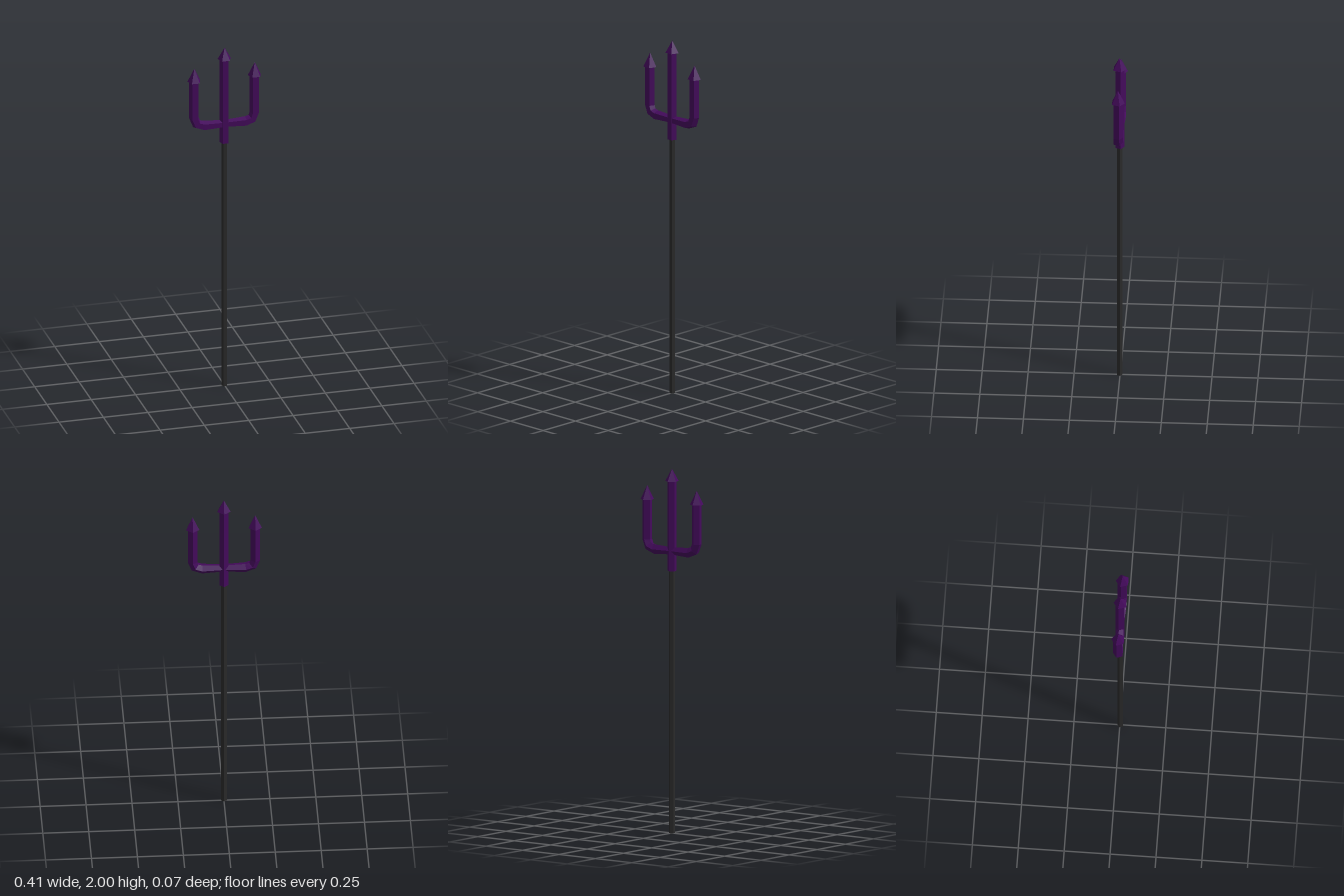
import * as THREE from 'three';

const SIDES = 5;
const Z = 0.0035; // pentagon centre, so the sections are centred front to back

export function createModel() {
  const group = new THREE.Group();
  const purple = new THREE.MeshStandardMaterial({ color: 0x440a5c, flatShading: true });
  purple.name = 'dark purple';
  const black = new THREE.MeshStandardMaterial({ color: 0x2a2a2a, flatShading: true });
  black.name = 'charcoal';

  const add = (name, geometry, material) => {
    const mesh = new THREE.Mesh(geometry, material);
    mesh.name = name;
    group.add(mesh);
  };

  // Upright five-sided bar with one edge facing the back
  const bar = (name, x, y0, y1, rBottom, rTop, material) => {
    const g = new THREE.CylinderGeometry(rTop, rBottom, y1 - y0, SIDES);
    g.rotateY(Math.PI).translate(x, (y0 + y1) / 2, Z);
    add(name, g, material);
  };

  // Spike: a cone with a closed base
  const spike = (name, x, y0, y1) => {
    const g = new THREE.ConeGeometry(0.038, y1 - y0, SIDES);
    g.rotateY(Math.PI).translate(x, (y0 + y1) / 2, Z);
    add(name, g, purple);
  };

  // Five-sided sweep along [x, y, radius, angle of the section's side axis]
  const prong = (name, side) => {
    const path = [
      [0, 1.55, 0.021, 90],
      [0.118, 1.55, 0.028, 90],
      [0.156, 1.564, 0.028, 135],
      [0.17, 1.6, 0.028, 180],
      [0.17, 1.825, 0.028, 180],
    ];
    const positions = [];
    const index = [];
    path.forEach(([x, y, r, deg]) => {
      const a = THREE.MathUtils.degToRad(deg);
      for (let k = 0; k < SIDES; k++) {
        const t = (k / SIDES) * Math.PI * 2;
        const u = Math.sin(t) * r;
        positions.push(side * (x + Math.cos(a) * u), y + Math.sin(a) * u, Z - Math.cos(t) * r);
      }
    });
    for (let i = 0; i < path.length - 1; i++) {
      for (let k = 0; k < SIDES; k++) {
        const a = i * SIDES + k;
        const b = i * SIDES + ((k + 1) % SIDES);
        const c = a + SIDES;
        const d = b + SIDES;
        if (side > 0) index.push(a, b, c, b, d, c);
        else index.push(a, c, b, b, c, d);
      }
    }
    const g = new THREE.BufferGeometry();
    g.setAttribute('position', new THREE.Float32BufferAttribute(positions, 3));
    g.setIndex(index);
    // Point the faces outwards whichever way the section runs
    const p = (n) => new THREE.Vector3().fromBufferAttribute(g.attributes.position, n);
    const [i0, i1, i2] = index;
    const normal = p(i1).sub(p(i0)).cross(p(i2).sub(p(i0)));
    const outward = p(i0).add(p(i1)).multiplyScalar(0.5).sub(new THREE.Vector3(0, 1.55, Z));
    outward.x = 0;
    if (normal.dot(outward) < 0) {
      for (let n = 0; n < index.length; n += 3) [index[n], index[n + 1]] = [index[n + 1], index[n]];
      g.setIndex(index);
    }
    g.computeVertexNormals();
    add(name, g, purple);
  };

  bar('shaft', 0, 0, 1.46, 0.0165, 0.0165, black);
  bar('centreProng', 0, 1.44, 1.94, 0.0265, 0.0265, purple);
  spike('centreTip', 0, 1.932, 2);

  for (const [label, side] of [['left', 1], ['right', -1]]) {
    prong(label + 'Prong', side);
    spike(label + 'Tip', side * 0.17, 1.817, 1.895);
  }
  return group;
}
